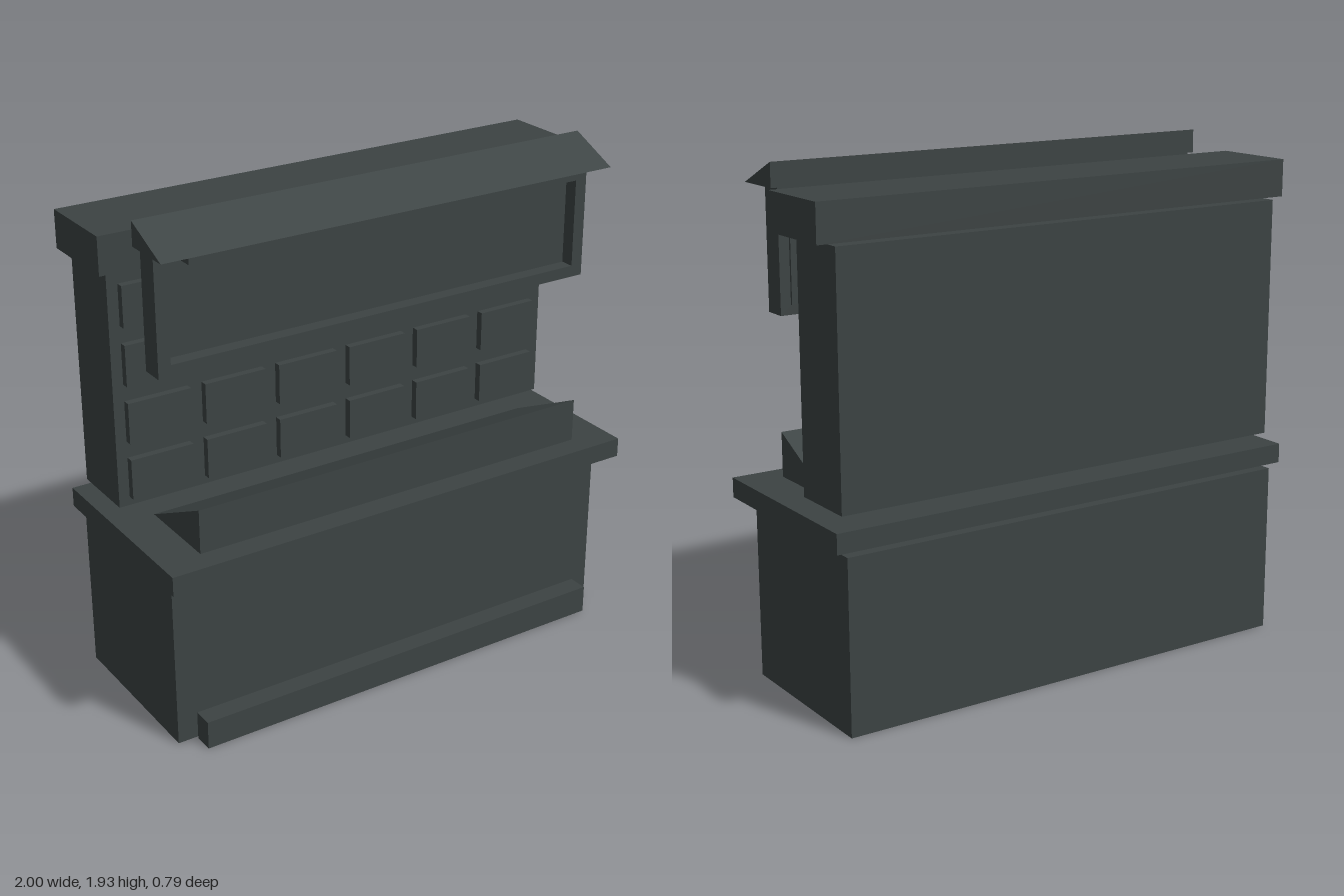
import * as THREE from 'three';

export function createModel() {
  const model = new THREE.Group();
  model.name = 'marketStall';
  const slate = new THREE.MeshStandardMaterial({ color: 0x3c4343 });
  slate.name = 'dark slate';

  const add = (name, geometry, parent = model) => {
    const mesh = new THREE.Mesh(geometry, slate);
    mesh.name = name;
    parent.add(mesh);
    return mesh;
  };

  // Box given by its extents on each axis
  const box = (name, [x0, x1], [y0, y1], [z0, z1], parent) =>
    add(name, new THREE.BoxGeometry(x1 - x0, y1 - y0, z1 - z0), parent)
      .position.set((x0 + x1) / 2, (y0 + y1) / 2, (z0 + z1) / 2);

  // Prism along x from a [z, y] profile
  const prism = (name, profile, halfWidth) => {
    const shape = new THREE.Shape(profile.map(([z, y]) => new THREE.Vector2(-z, y)));
    const geometry = new THREE.ExtrudeGeometry(shape, { depth: halfWidth * 2, bevelEnabled: false });
    geometry.translate(0, 0, -halfWidth);
    geometry.rotateY(Math.PI / 2);
    return add(name, geometry);
  };

  // Base cabinet, foot rail and counter
  box('baseCabinet', [-0.94, 0.94], [0, 0.655], [-0.385, 0.293]);
  box('footRail', [-0.865, 0.865], [0, 0.11], [0.302, 0.38]);
  box('counterTop', [-0.983, 0.983], [0.675, 0.75], [-0.393, 0.393]);

  // Sloped display on the counter
  prism('displayWedge', [[0.3, 0.75], [-0.045, 0.75], [0.3, 0.92]], 0.825);

  // Back wall with cornice
  box('backWall', [-0.94, 0.94], [0.792, 1.705], [-0.353, -0.085]);
  box('cornice', [-1, 1], [1.712, 1.853], [-0.338, -0.006]);

  // Grid of raised panels on the back wall
  const panels = new THREE.Group();
  panels.name = 'wallPanels';
  model.add(panels);
  for (let row = 0; row < 4; row++) {
    for (let col = 0; col < 6; col++) {
      const x = -0.898 + col * 0.307;
      const y = 0.825 + row * 0.22;
      box('wallPanel', [x, x + 0.25], [y, y + 0.156], [-0.085, -0.056], panels);
    }
  }

  // Hanging sign: frame around a recessed board
  const rect = (Path, w, y0, y1) => new Path([[-w, y0], [w, y0], [w, y1], [-w, y1]]
    .map(([x, y]) => new THREE.Vector2(x, y)));
  const frame = rect(THREE.Shape, 0.905, 1.392, 1.84);
  frame.holes.push(rect(THREE.Path, 0.857, 1.436, 1.808));
  add('signFrame', new THREE.ExtrudeGeometry(frame, { depth: 0.09, bevelEnabled: false }))
    .position.z = 0.115;
  box('signBoard', [-0.865, 0.865], [1.428, 1.82], [0.106, 0.15]);

  // Small sloped canopy and the lamp bar below it
  prism('canopy', [[0.31, 1.84], [0.112, 1.84], [0.112, 1.93]], 0.93);
  box('lampBar', [-0.815, 0.815], [1.805, 1.84], [0.23, 0.28]);

  return model;
}
